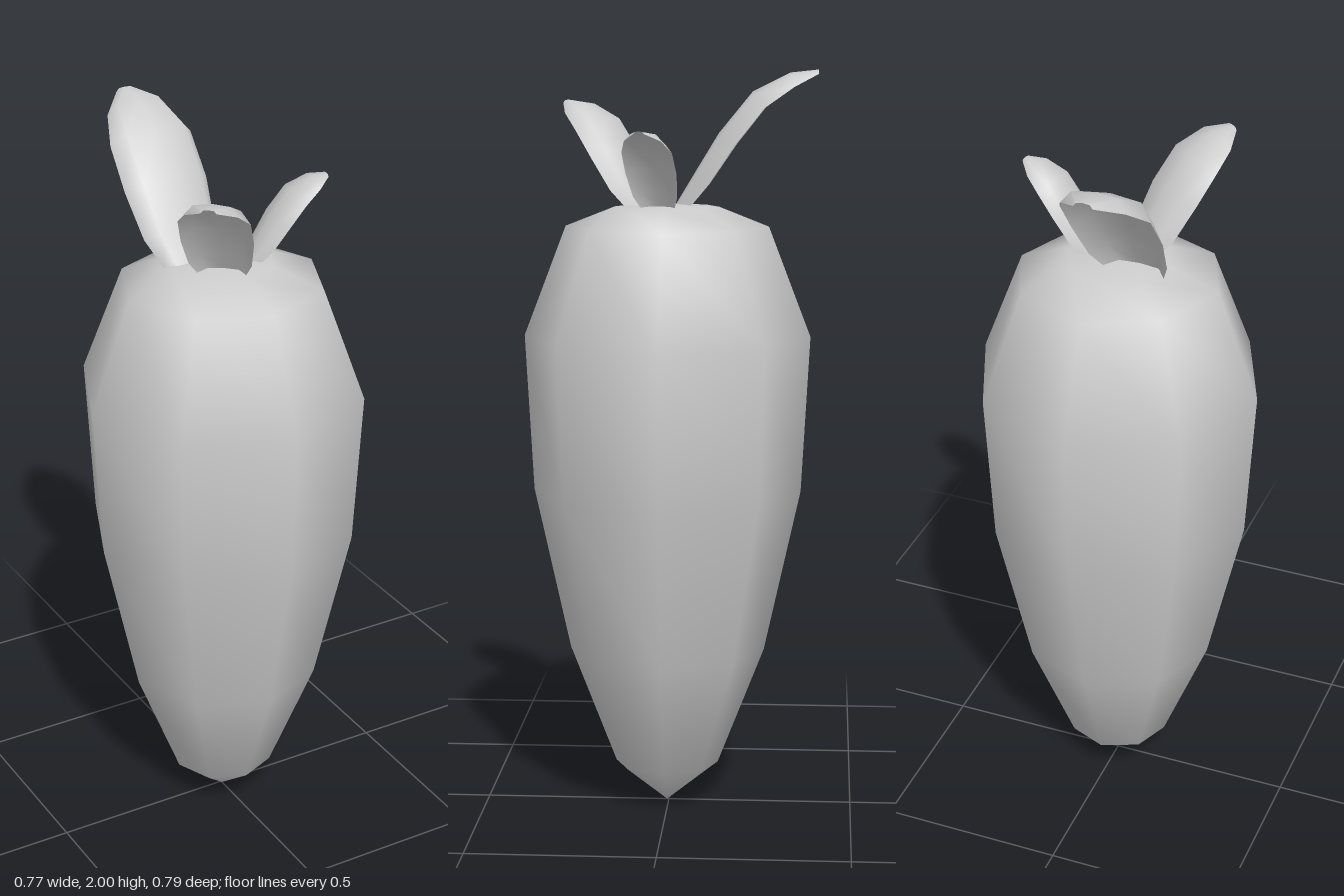
import * as THREE from 'three';

const material = new THREE.MeshStandardMaterial({ color: 0xcccccc });
const leafMaterial = new THREE.MeshStandardMaterial({ color: 0xcccccc, side: THREE.DoubleSide });

// Leaf midline stations: [distance outward, height, half width]
const stations = [
  [0, 0, 0.075], [0.045, 0.075, 0.105], [0.115, 0.19, 0.12],
  [0.205, 0.3, 0.118], [0.305, 0.35, 0.085], [0.38, 0.358, 0.025],
];
// Arched cross-section: [side, droop], as fractions of the half width
const arch = [[-1, 0.46], [-0.7, 0.08], [0, 0], [0.7, 0.08], [1, 0.46]];

// An arched leaf that curves up and out along +z
function leafGeometry() {
  const geometry = new THREE.PlaneGeometry(1, 1, arch.length - 1, stations.length - 1);
  const position = geometry.attributes.position;
  stations.forEach(([d, y, w], i) => {
    const before = stations[Math.max(i - 1, 0)];
    const after = stations[Math.min(i + 1, stations.length - 1)];
    const tangent = new THREE.Vector2(after[0] - before[0], after[1] - before[1]).normalize();
    arch.forEach(([side, droop], j) => {
      const drop = droop * w;
      position.setXYZ(i * arch.length + j, side * w, y - tangent.x * drop, d + tangent.y * drop);
    });
  });
  geometry.computeVertexNormals();
  return geometry;
}

export function createModel() {
  const model = new THREE.Group();
  model.name = 'carrot';

  // Eight-sided tapering root
  const profile = [
    [0, 0], [0.14, 0.11], [0.265, 0.43], [0.362, 0.87],
    [0.385, 1.29], [0.272, 1.585], [0.14, 1.637], [0, 1.645],
  ].map(([r, y]) => new THREE.Vector2(r, y));
  const root = new THREE.Mesh(new THREE.LatheGeometry(profile, 8), material);
  root.name = 'root';
  root.position.z = 0.005;
  model.add(root);

  // Three leaves of different sizes, each pointing its own way
  const geometry = leafGeometry();
  const leaves = [
    { name: 'backLeaf', base: [-0.065, -0.015], aim: [0, -1], size: 1 },
    { name: 'frontLeaf', base: [-0.025, 0.055], aim: [-0.6, 0.8], size: 0.77 },
    { name: 'sideLeaf', base: [0.065, 0.02], aim: [0.98, 0.18], size: 0.57 },
  ];
  for (const { name, base, aim, size } of leaves) {
    const leaf = new THREE.Mesh(geometry, leafMaterial);
    leaf.name = name;
    leaf.position.set(base[0], 1.64, base[1]);
    leaf.rotation.y = Math.atan2(aim[0], aim[1]);
    leaf.scale.setScalar(size);
    model.add(leaf);
  }
  return model;
}
